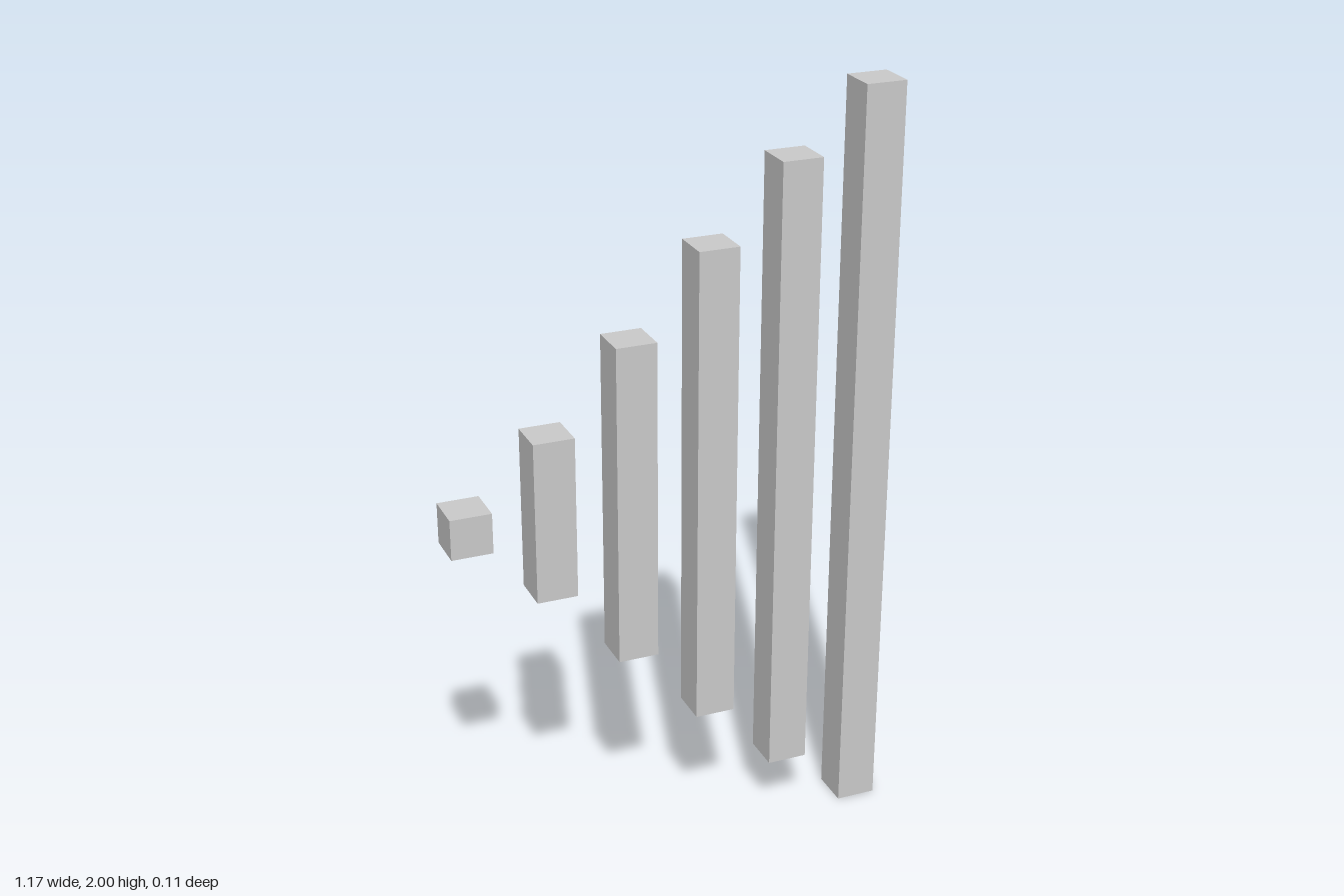
import * as THREE from 'three';

// Row of square bars, growing in height from right to left about a common mid-line
export function createModel() {
  const group = new THREE.Group();
  group.name = 'barRow';
  const material = new THREE.MeshStandardMaterial({ color: 0xcccccc, flatShading: true });

  const width = 0.106;
  const spacing = 0.2135;
  const heights = [0.106, 0.427, 0.853, 1.278, 1.667, 2];

  heights.forEach((height, i) => {
    const bar = new THREE.Mesh(new THREE.BoxGeometry(width, height, width), material);
    bar.name = `bar${i + 1}`;
    bar.position.set((i - (heights.length - 1) / 2) * spacing, i < 5 ? 1.002 : 1, 0);
    group.add(bar);
  });

  return group;
}
